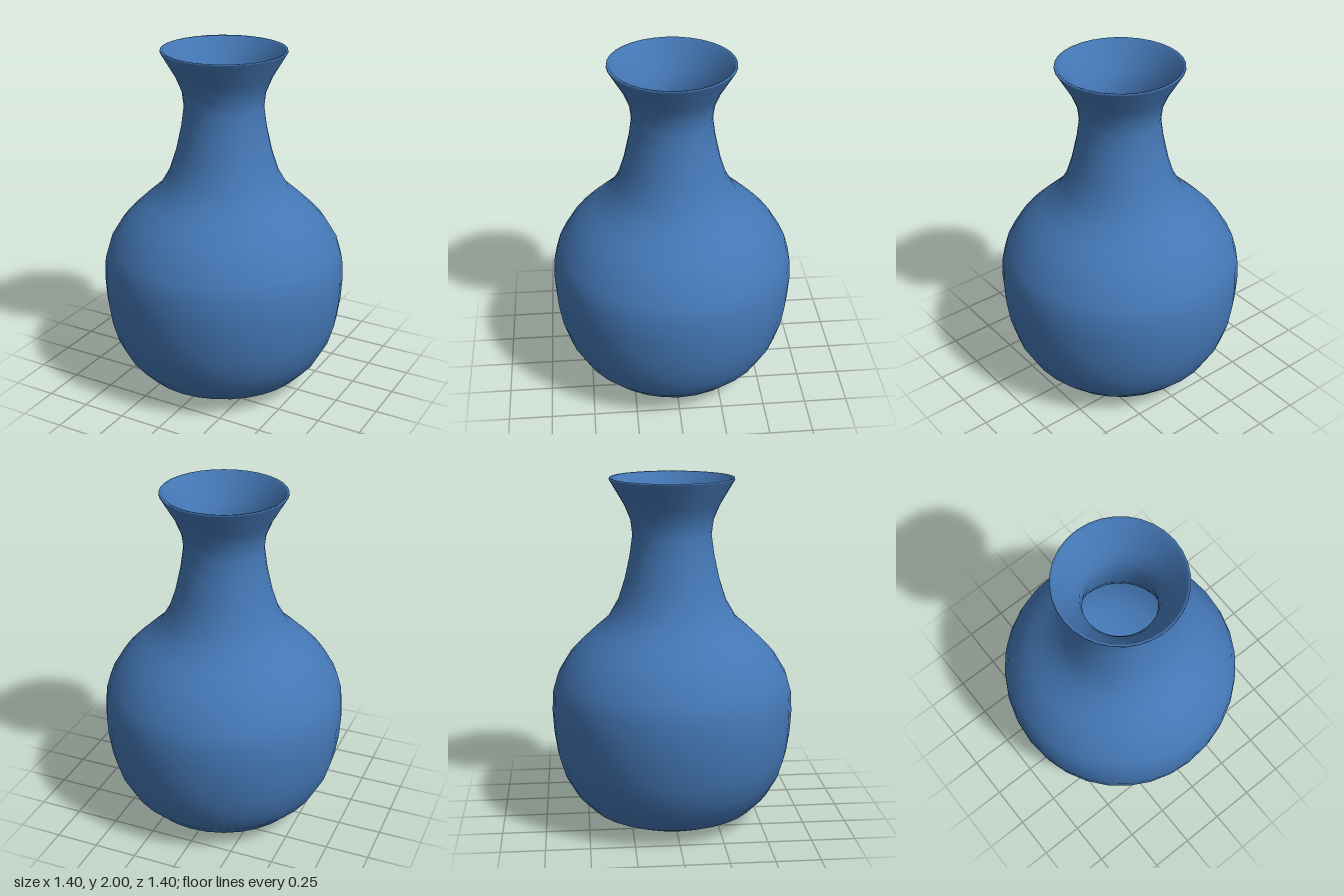
import * as THREE from 'three';

export function createModel() {
  const group = new THREE.Group();
  const glaze = new THREE.MeshStandardMaterial({ color: 0x4477b5 });
  glaze.name = 'blue glaze';

  // Outer silhouette [radius, height], foot to rim
  const outer = [
    [0, 0], [0.05, 0], [0.21, 0.007], [0.38, 0.03], [0.495, 0.085], [0.58, 0.175],
    [0.64, 0.285], [0.675, 0.405], [0.693, 0.53], [0.7, 0.655], [0.693, 0.775],
    [0.665, 0.87], [0.595, 0.985], [0.53, 1.055], [0.45, 1.13], [0.37, 1.2],
    [0.312, 1.3], [0.273, 1.42], [0.242, 1.56], [0.225, 1.68], [0.235, 1.765],
    [0.27, 1.85], [0.353, 1.99],
  ];
  // Inner wall, rim to floor, offset by the wall thickness
  const wall = 0.026;
  const inner = outer.slice(3, -1).reverse().map(([r, y]) => [r - wall, y < 0.2 ? y + wall : y]);
  const profile = [...outer, [0.352, 2], [0.338, 1.997], ...inner, [0.2, 0.036], [0.05, 0.03], [0, 0.03]]
    .map(([r, y]) => new THREE.Vector2(r, y));

  // Hollow turned body, foot, neck and flared lip in one surface
  const vase = new THREE.Mesh(new THREE.LatheGeometry(profile, 32), glaze);
  vase.name = 'vaseBody';
  group.add(vase);
  return group;
}
